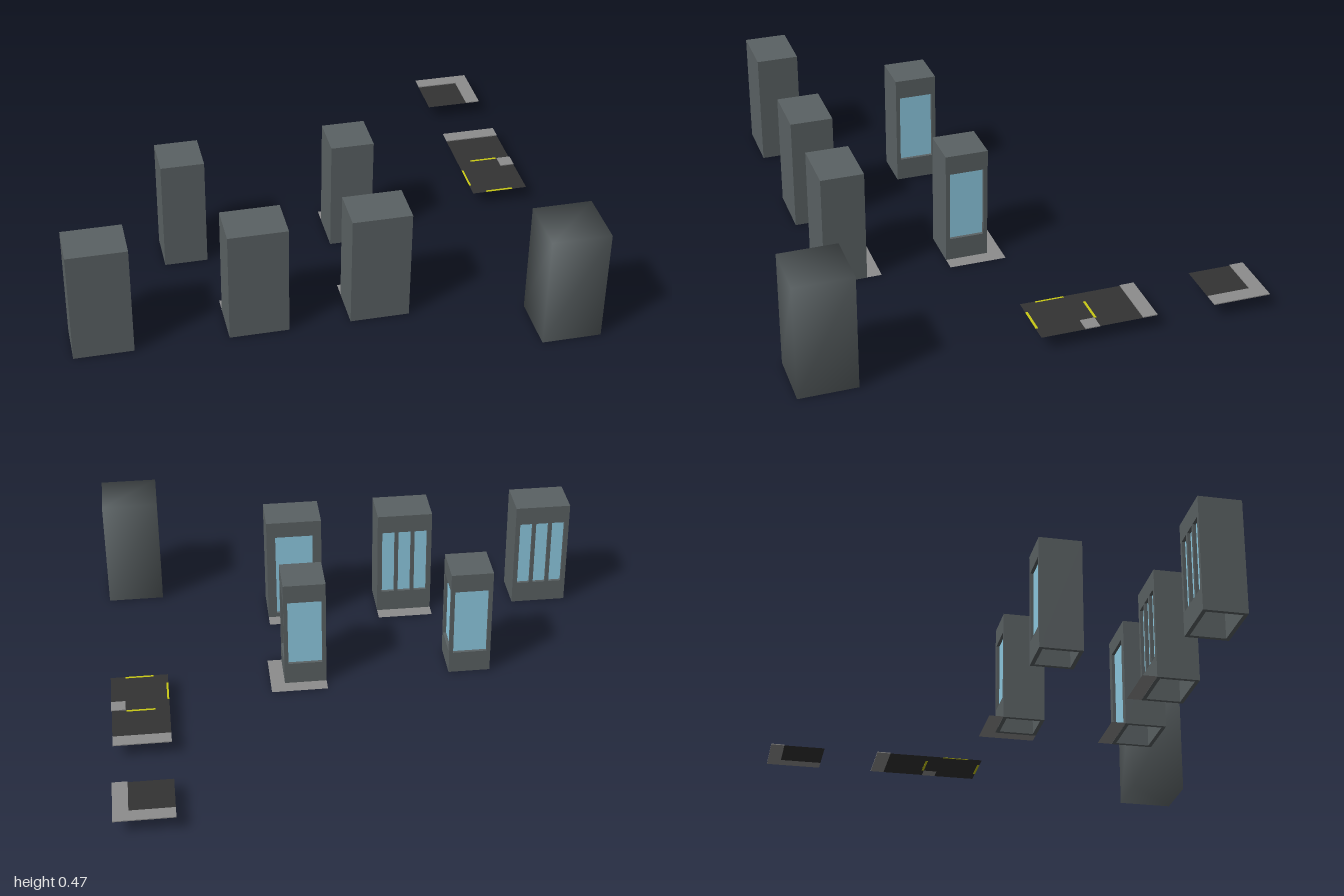
import * as THREE from 'three';
import { mergeVertices } from 'three/addons/utils/BufferGeometryUtils.js';

const mat = (color, side = THREE.FrontSide) => new THREE.MeshStandardMaterial({ color, side });
const concrete = mat(0x5a6163);
const glass = mat(0x8ecbe2);
const asphalt = mat(0x333333, THREE.DoubleSide);
const paving = mat(0x8c8c8c, THREE.DoubleSide);
const paint = mat(0xc8c814);

const H = 0.47;        // building height
const T = 0.016;       // wall thickness, also the window recess
const ROAD_Y = 0.063;

function add(parent, name, geometry, material, x = 0, y = 0, z = 0) {
  const mesh = new THREE.Mesh(geometry, material);
  mesh.name = name;
  mesh.position.set(x, y, z);
  parent.add(mesh);
  return mesh;
}

// Upright wall facing +z, centred on x, with rectangular openings [x0, x1, y0, y1] filled with recessed glass
function wall(name, width, openings = []) {
  const g = new THREE.Group();
  g.name = name;
  const shape = new THREE.Shape();
  shape.moveTo(-width / 2, 0).lineTo(width / 2, 0).lineTo(width / 2, H).lineTo(-width / 2, H).closePath();
  for (const [x0, x1, y0, y1] of openings) {
    const hole = new THREE.Path();
    hole.moveTo(x0, y0).lineTo(x0, y1).lineTo(x1, y1).lineTo(x1, y0).closePath();
    shape.holes.push(hole);
    add(g, 'windowGlass', new THREE.BoxGeometry(x1 - x0, y1 - y0, 0.003), glass,
      (x0 + x1) / 2, (y0 + y1) / 2, -T + 0.0016);
  }
  const panel = new THREE.ExtrudeGeometry(shape, { depth: T, bevelEnabled: false });
  panel.translate(0, 0, -T);
  add(g, 'wallPanel', panel, concrete);
  return g;
}

// Hollow building, open underneath; the back faces -z and the side faces +x
function building(name, w, d, cx, cz, backOpenings, sideOpenings) {
  const g = new THREE.Group();
  g.name = name;
  g.position.set(cx, 0, cz);
  const walls = [
    ['frontWall', w, 0, d / 2, 0, []],
    ['backWall', w, 0, -d / 2, Math.PI, backOpenings],
    ['leftWall', d, w / 2, 0, Math.PI / 2, sideOpenings],
    ['rightWall', d, -w / 2, 0, -Math.PI / 2, []],
  ];
  for (const [wallName, width, x, z, turn, openings] of walls) {
    const part = wall(wallName, width, openings);
    part.position.set(x, 0, z);
    part.rotation.y = turn;
    g.add(part);
  }
  add(g, 'roof', new THREE.BoxGeometry(w - 0.002, 0.008, d - 0.002), concrete, 0, H - 0.004, 0);
  return g;
}

// Flat horizontal rectangle
function sheet(parent, name, material, x0, x1, z0, z1, y) {
  const geo = new THREE.PlaneGeometry(x1 - x0, z1 - z0).rotateX(-Math.PI / 2);
  add(parent, name, geo, material, (x0 + x1) / 2, y, (z0 + z1) / 2);
}

// Thin horizontal block resting on y
function slab(parent, name, material, x0, x1, z0, z1, y, t) {
  add(parent, name, new THREE.BoxGeometry(x1 - x0, t, z1 - z0), material,
    (x0 + x1) / 2, y + t / 2, (z0 + z1) / 2);
}

export function createModel() {
  const root = new THREE.Group();
  root.name = 'cityBlockKit';

  // Openings
  const strips = [-0.07, 0, 0.07].map((x) => [x - 0.027, x + 0.027, 0.095, 0.39]);
  const door = [[-0.08, 0.08, 0.02, 0.4]];
  const wide = [[-0.07, 0.07, 0.095, 0.39]];

  // Row buildings and corner buildings
  const W = 0.234, D = 0.173;
  root.add(building('windowBuilding', W, D, -0.883, 0.5615, strips, []));
  root.add(building('pavedWindowBuilding', W, D, -0.282, 0.5615, strips, []));
  root.add(building('pavedDoorBuilding', W, D, 0.195, 0.5615, door, []));
  root.add(building('cornerBuilding', D, D, -0.485, 0.0535, wide, wide));
  root.add(building('pavedCornerBuilding', D, D, 0.2, 0.0535, wide, wide));

  // Ground-level sidewalks
  const walks = new THREE.Group();
  walks.name = 'sidewalks';
  root.add(walks);
  sheet(walks, 'windowSidewalk', paving, -0.399, -0.165, 0.415, 0.475, 0.001);
  sheet(walks, 'doorSidewalk', paving, 0.078, 0.312, 0.415, 0.475, 0.001);
  sheet(walks, 'cornerSidewalkBack', paving, 0.1135, 0.345, -0.092, -0.033, 0.001);
  sheet(walks, 'cornerSidewalkSide', paving, 0.2865, 0.345, -0.033, 0.14, 0.001);

  // Plain block with softened shading
  const soft = new THREE.BoxGeometry(0.234, H, 0.23);
  soft.deleteAttribute('normal');
  soft.deleteAttribute('uv');
  const block = mergeVertices(soft);
  block.computeVertexNormals();
  add(root, 'plainBlock', block, concrete, 0.883, H / 2, 0.811);

  // Road tiles: straight, inner corner, outer corner
  const roads = new THREE.Group();
  roads.name = 'roads';
  root.add(roads);
  const road = (...r) => sheet(roads, 'roadSurface', asphalt, ...r, ROAD_Y);
  const curb = (...r) => slab(roads, 'roadSidewalk', paving, ...r, ROAD_Y, 0.004);
  const line = (...r) => slab(roads, 'laneMarking', paint, ...r, ROAD_Y - 0.0005, 0.001);

  road(0.765, 0.995, -0.408, -0.233);
  curb(0.765, 0.995, -0.466, -0.408);
  line(0.823, 0.937, -0.243, -0.233);

  road(0.765, 0.94, -0.233, -0.175);
  road(0.765, 0.998, -0.175, 0);
  curb(0.94, 0.998, -0.233, -0.175);
  line(0.765, 0.773, -0.175, -0.06);
  line(0.823, 0.937, -0.01, 0);

  road(0.765, 0.94, -0.873, -0.698);
  curb(0.765, 1, -0.93, -0.873);
  curb(0.94, 1, -0.873, -0.698);

  return root;
}
